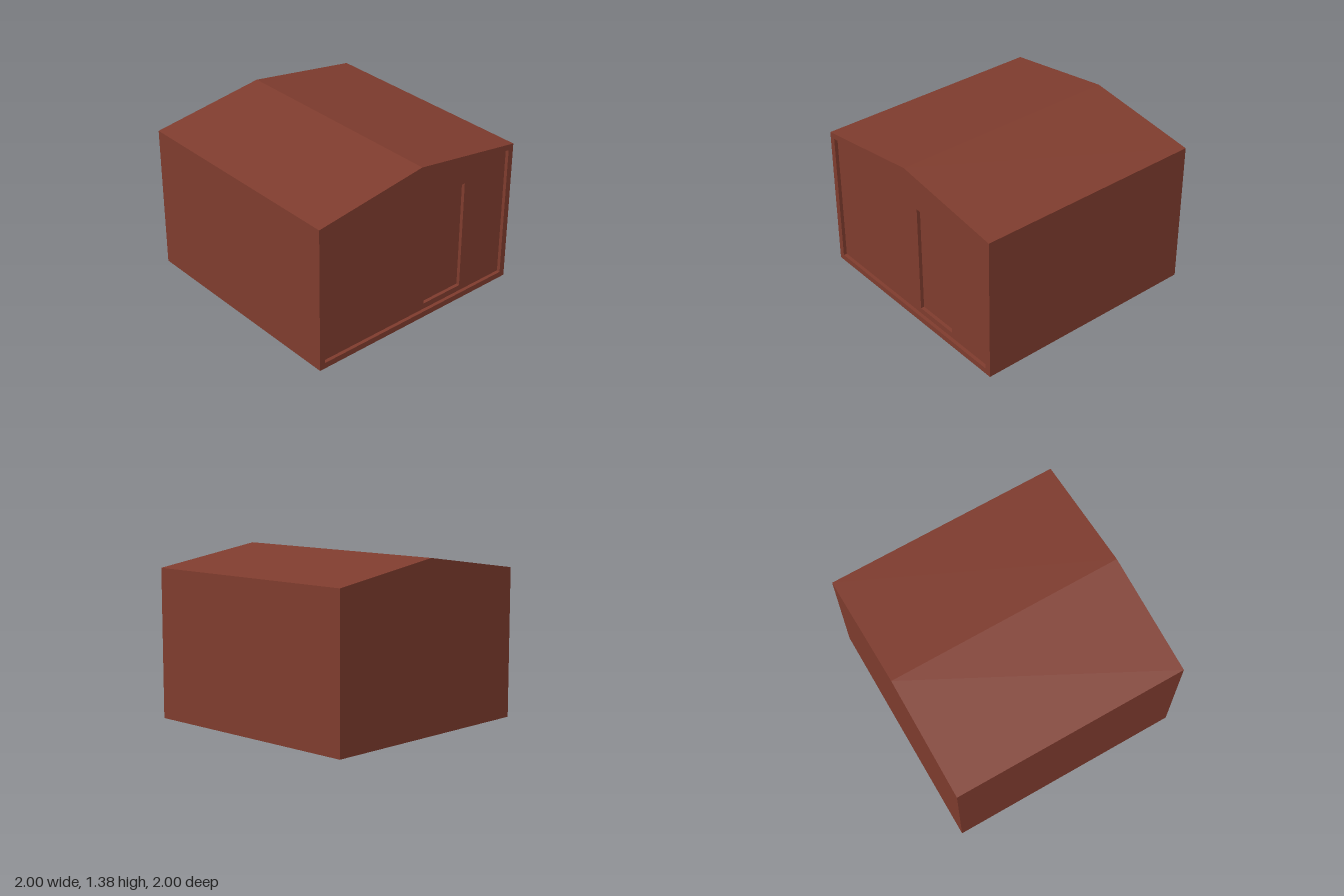
import * as THREE from 'three';

const RECESS = 0.03;

// Gable outline, counter-clockwise seen from the front
const gable = (w, base, eave, ridge) =>
  [[-w, base], [w, base], [w, eave], [0, ridge], [-w, eave]];

const OUTER = gable(1, 0, 1.24, 1.385);
const INNER = gable(0.95, 0.05, 1.197, 1.333);
const DOOR = [[0.1, 0.1], [0.5, 0.1], [0.5, 1.05], [0.1, 1.05]];

const points = (loop) => loop.map(([x, y]) => new THREE.Vector2(x, y));

// Flat face at depth z, with an optional opening
function face(loop, z, hole) {
  const shape = new THREE.Shape(points(loop));
  if (hole) shape.holes.push(new THREE.Path(points(hole)));
  return new THREE.ShapeGeometry(shape).translate(0, 0, z);
}

// Strip of quads along a loop; faces outward when z1 > z0, inward otherwise
function band(loop, z0, z1) {
  const pos = [];
  loop.forEach(([ax, ay], i) => {
    const [bx, by] = loop[(i + 1) % loop.length];
    pos.push(ax, ay, z0, bx, by, z0, bx, by, z1);
    pos.push(ax, ay, z0, bx, by, z1, ax, ay, z1);
  });
  const geo = new THREE.BufferGeometry();
  geo.setAttribute('position', new THREE.Float32BufferAttribute(pos, 3));
  geo.computeVertexNormals();
  return geo;
}

export function createModel() {
  const group = new THREE.Group();
  group.name = 'shed';
  const brick = new THREE.MeshStandardMaterial({ color: 0x7f3c2e });
  brick.name = 'brick red';

  const add = (name, geometry) => {
    const mesh = new THREE.Mesh(geometry, brick);
    mesh.name = name;
    group.add(mesh);
    return mesh;
  };

  // Shell: floor, side walls and roof slopes, closed at the back
  add('shell', band(OUTER, -1, 1));
  add('backWall', face(OUTER.map(([x, y]) => [-x, y]).reverse(), 0).rotateY(Math.PI).translate(0, 0, -1));

  // Front frame around the recessed front wall
  add('frontFrame', face(OUTER, 1, INNER));
  add('frameReveal', band(INNER, 1, 1 - RECESS));
  add('frontWall', face(INNER, 1 - RECESS, DOOR));

  // Door set one step further back
  add('doorReveal', band(DOOR, 1 - RECESS, 1 - 2 * RECESS));
  add('door', face(DOOR, 1 - 2 * RECESS));

  return group;
}
